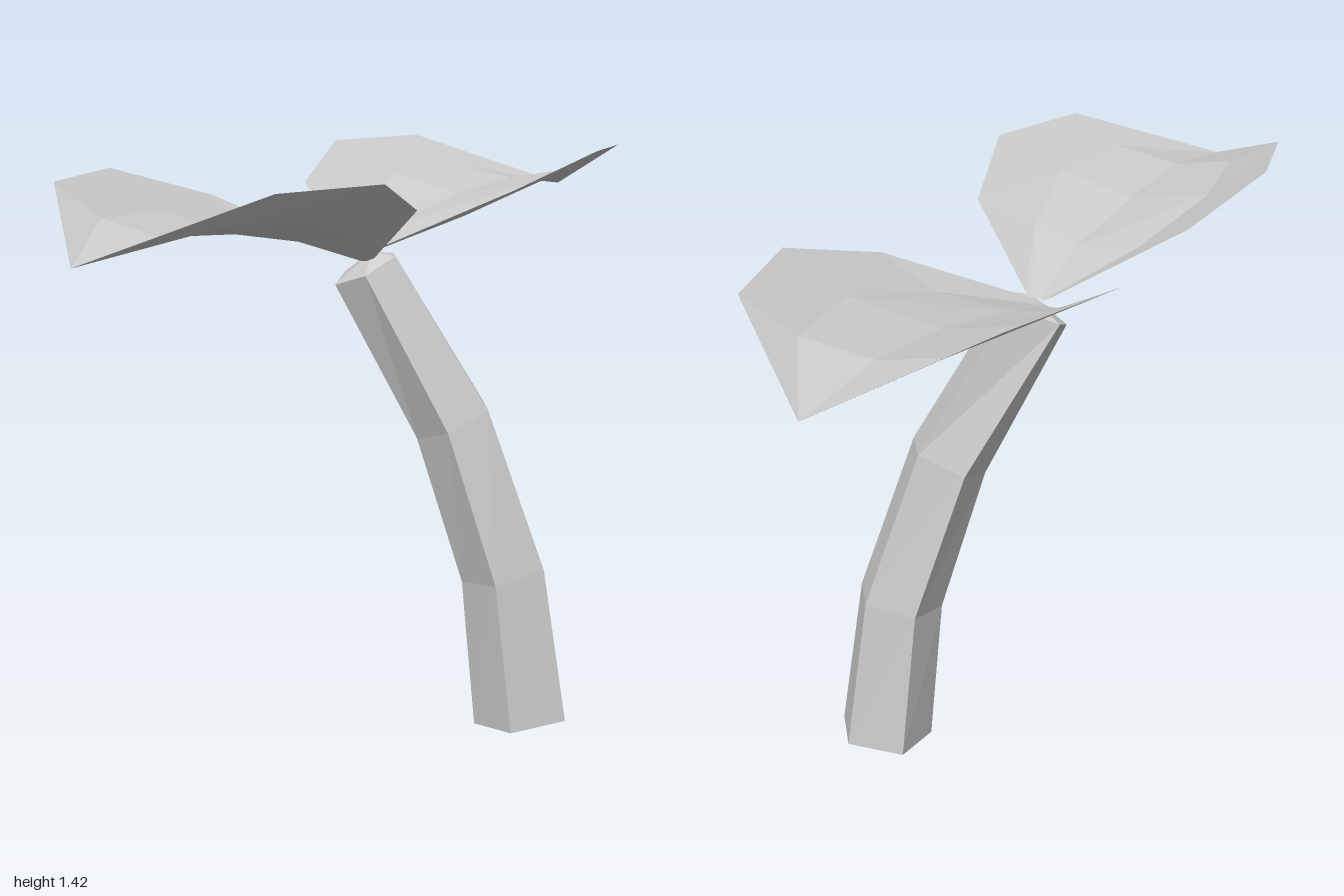
import * as THREE from 'three';

// Skins rows of [x, y, z] points with flat facets; a one-point row closes to a tip.
function loft(rows, closed) {
  const n = Math.max(...rows.map(r => r.length));
  const at = (row, i) => row.length === 1 ? row[0] : row[i % n];
  const pos = [];
  for (let r = 0; r + 1 < rows.length; r++) {
    const a = rows[r], b = rows[r + 1];
    for (let i = 0; i < (closed ? n : n - 1); i++) {
      if (a.length > 1) pos.push(...at(a, i), ...at(a, i + 1), ...at(b, i + 1));
      if (b.length > 1) pos.push(...at(a, i), ...at(b, i + 1), ...at(b, i));
    }
  }
  const g = new THREE.BufferGeometry();
  g.setAttribute('position', new THREE.Float32BufferAttribute(pos, 3));
  g.computeVertexNormals();
  return g;
}

// Cupped leaf reaching towards +z; each row runs from its left edge over the midrib.
function leafGeometry(stretch) {
  const rows = [
    [[0.07, 1.19, 0.0], [0.05, 1.182, 0.005], [0.03, 1.18, 0.01], [0.015, 1.182, 0.01], [0.0, 1.19, 0.015]],
    [[0.36, 1.335, 0.10], [0.25, 1.27, 0.19], [0.12, 1.245, 0.21], [-0.04, 1.27, 0.27], [-0.175, 1.34, 0.30]],
    [[0.54, 1.42, 0.33], [0.40, 1.335, 0.42], [0.21, 1.295, 0.49], [0.0, 1.335, 0.55], [-0.155, 1.42, 0.59]],
    [[0.57, 1.42, 0.63], [0.45, 1.345, 0.68], [0.30, 1.315, 0.74], [0.15, 1.345, 0.79], [0.02, 1.415, 0.83]],
    [[0.39, 1.28, 1.0]],
  ];
  // Draw the outer side of the blade a little further out
  rows.slice(1, 4).forEach(row => {
    row[3][2] += stretch * 0.7;
    row[4][2] += stretch;
  });
  return loft(rows, false);
}

export function createModel() {
  const group = new THREE.Group();
  const grey = new THREE.MeshStandardMaterial({ color: 0xcccccc });
  grey.name = 'plainGrey';
  grey.flatShading = true;
  grey.side = THREE.DoubleSide;

  const add = (name, geometry) => {
    const mesh = new THREE.Mesh(geometry, grey);
    mesh.name = name;
    group.add(mesh);
    return mesh;
  };

  // Bent five-sided stem with pointed cap
  add('stem', loft([
    [[0.26, 0.015, -0.33]],
    [[0.145, 0.012, -0.36], [0.195, 0.003, -0.225], [0.33, 0.015, -0.23], [0.375, 0.03, -0.37], [0.26, 0.028, -0.445]],
    [[0.13, 0.395, -0.32], [0.17, 0.375, -0.20], [0.30, 0.39, -0.20], [0.335, 0.42, -0.325], [0.23, 0.425, -0.395]],
    [[0.06, 0.77, -0.21], [0.10, 0.74, -0.11], [0.215, 0.77, -0.115], [0.245, 0.82, -0.215], [0.15, 0.82, -0.28]],
    [[-0.06, 1.145, -0.01], [-0.02, 1.12, 0.05], [0.075, 1.15, 0.03], [0.10, 1.195, -0.04], [0.015, 1.19, -0.10]],
    [[0.03, 1.2, -0.02]],
  ], true));

  // Two opposite leaves
  add('frontLeaf', leafGeometry(0));
  const back = add('backLeaf', leafGeometry(0.045));
  back.rotation.y = Math.PI;
  back.position.x = 0.005;

  return group;
}
